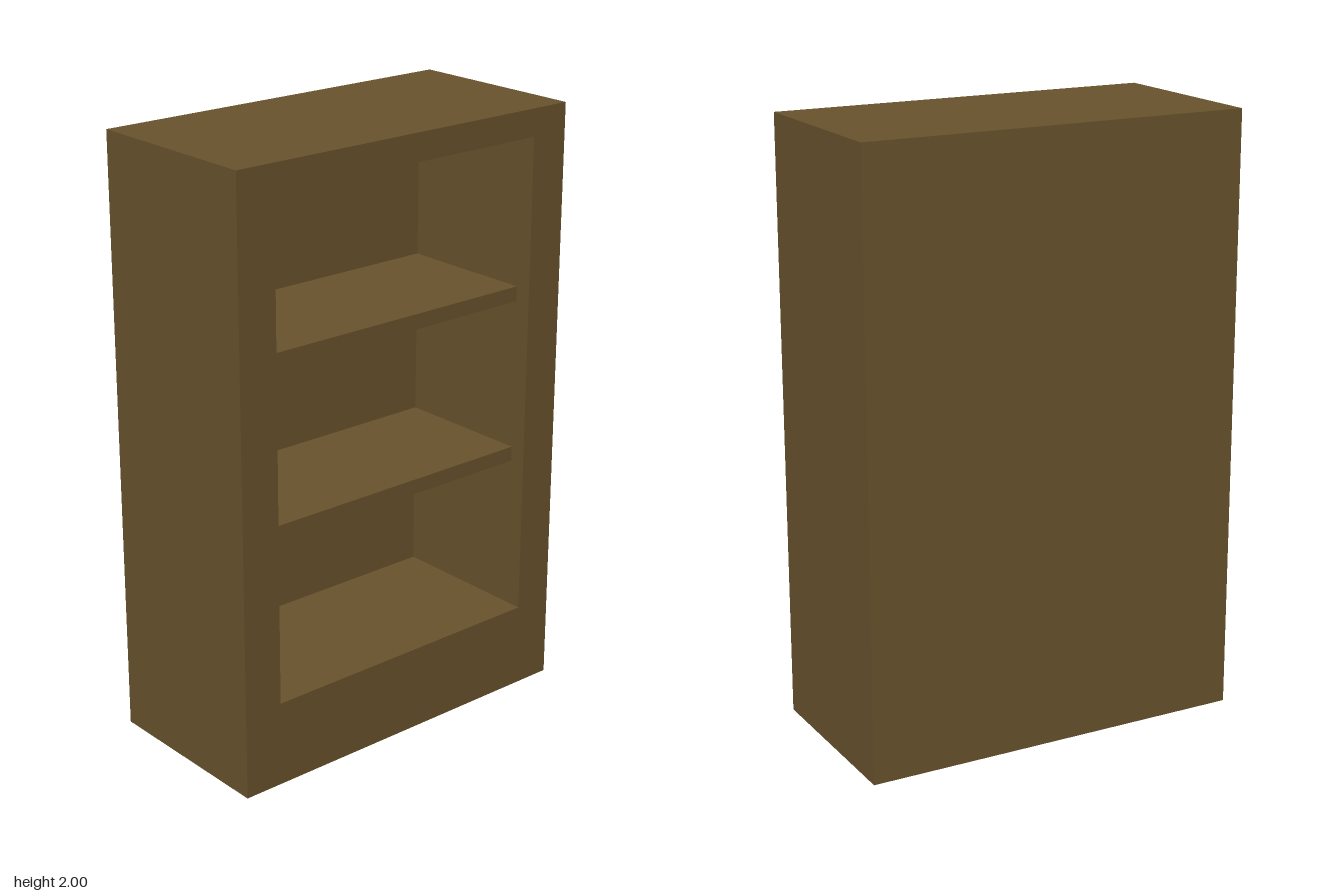
import * as THREE from 'three';

const W = 1.3, H = 2, D = 0.63;                  // overall cabinet size
const HALF_OPEN = 0.515, FLOOR = 0.285, CEIL = 1.91; // opening
const BACK = 0.1;                                // back panel thickness

export function createModel() {
  const wood = new THREE.MeshStandardMaterial({ color: 0x6a532d });
  wood.name = 'brownWood';

  const model = new THREE.Group();
  model.name = 'bookcase';
  const add = (name, geometry, x, y, z) => {
    const mesh = new THREE.Mesh(geometry, wood);
    mesh.name = name;
    mesh.position.set(x, y, z);
    model.add(mesh);
  };

  // Carcass: sides, plinth and top as one frame around the opening
  const outline = new THREE.Shape([
    new THREE.Vector2(-W / 2, 0), new THREE.Vector2(W / 2, 0),
    new THREE.Vector2(W / 2, H), new THREE.Vector2(-W / 2, H),
  ]);
  outline.holes.push(new THREE.Path([
    new THREE.Vector2(-HALF_OPEN, FLOOR), new THREE.Vector2(-HALF_OPEN, CEIL),
    new THREE.Vector2(HALF_OPEN, CEIL), new THREE.Vector2(HALF_OPEN, FLOOR),
  ]));
  add('frame', new THREE.ExtrudeGeometry(outline, { depth: D - BACK, bevelEnabled: false }), 0, 0, -D / 2 + BACK);

  // Back panel closing the rear
  add('backPanel', new THREE.BoxGeometry(W, H, BACK), 0, H / 2, -D / 2 + BACK / 2);

  // Two shelves, set back slightly from the front
  const shelfFront = 0.26, shelfBack = -D / 2 + BACK;
  for (const y of [0.83, 1.385]) {
    add('shelf', new THREE.BoxGeometry(HALF_OPEN * 2, 0.05, shelfFront - shelfBack), 0, y, (shelfFront + shelfBack) / 2);
  }
  return model;
}
